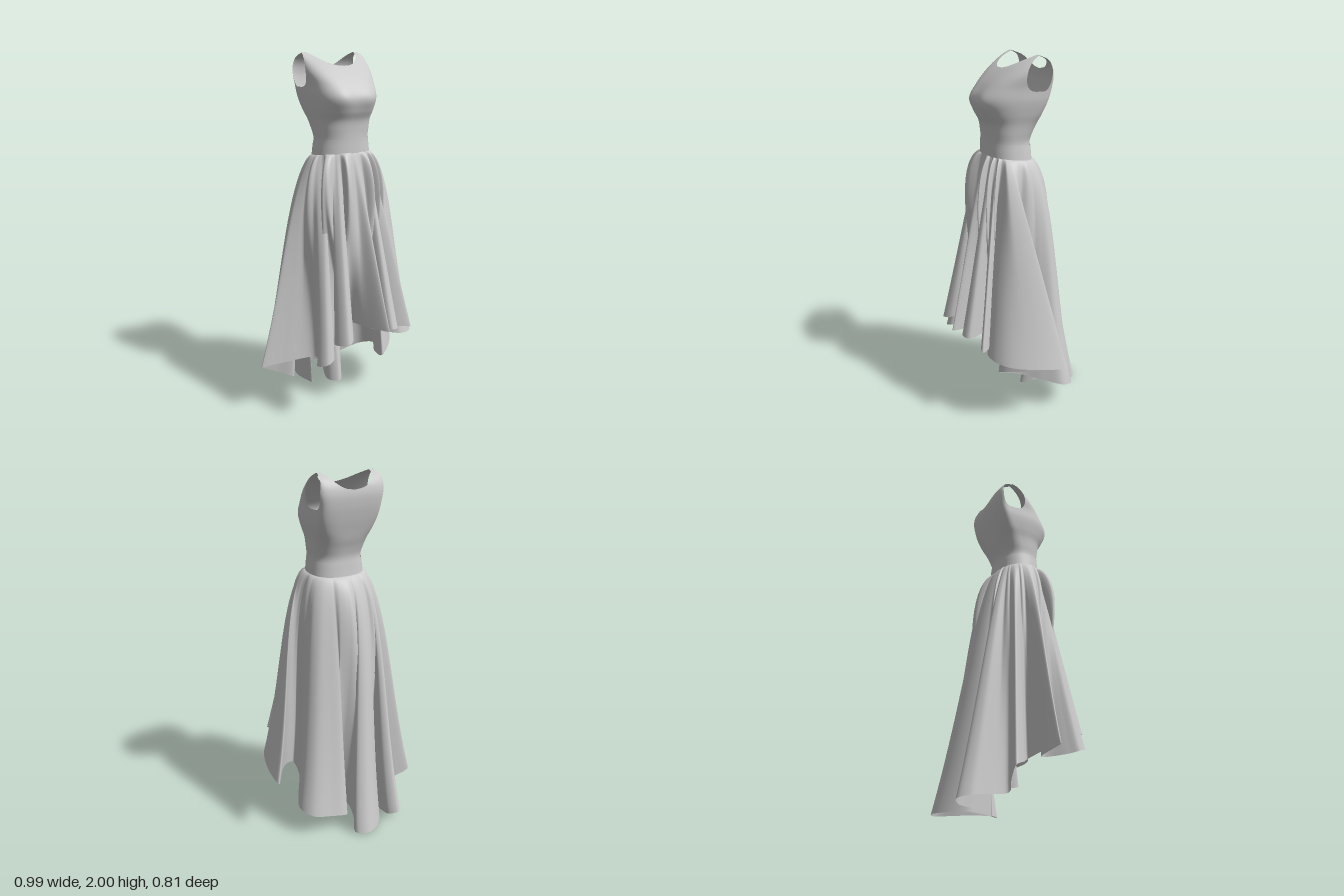
import * as THREE from 'three';

const { lerp, smoothstep, clamp, degToRad } = THREE.MathUtils;
const material = new THREE.MeshStandardMaterial({ color: 0xcccccc, side: THREE.DoubleSide });

// Body profile rows: y, then [half width, front z, back z, side seam z, squareness]
const levels = [1.44, 1.5, 1.55, 1.6, 1.65, 1.7, 1.77, 1.84, 1.9, 1.95, 1.98, 2.0];
const body = [
  [0.162, 0.157, -0.097, 0.03, 0.9], [0.155, 0.155, -0.092, 0.03, 0.9],
  [0.150, 0.154, -0.090, 0.03, 0.9], [0.156, 0.156, -0.102, 0.02, 0.85],
  [0.164, 0.163, -0.120, 0.00, 0.8], [0.177, 0.185, -0.135, -0.03, 0.72],
  [0.190, 0.199, -0.155, -0.065, 0.65], [0.194, 0.157, -0.170, -0.085, 0.6],
  [0.204, 0.098, -0.174, -0.085, 0.6], [0.204, 0.032, -0.160, -0.085, 0.6],
  [0.201, -0.024, -0.132, -0.083, 0.6], [0.196, -0.081, -0.081, -0.081, 0.6],
];
const profile = new THREE.CubicInterpolant(levels, body.flat(), 5, new Float32Array(5));

// Point on the body at an angle (0 = front, turning towards +x) and a height
function section(angle, y) {
  const [w, front, back, side, p] = profile.evaluate(y);
  const s = Math.sin(angle), c = Math.cos(angle);
  const power = c > 0 ? p : p * p; // the back is squarer than the front
  const x = 0.012 + w * Math.sign(s) * Math.abs(s) ** power;
  const z = side + ((c > 0 ? front : back) - side) * Math.abs(c) ** power;
  return new THREE.Vector3(x, y, z);
}

// Closed sheet: columns run round the body, rows run upward
function sheet(name, columns, rows, pointAt) {
  const positions = [], index = [];
  for (let j = 0; j <= rows; j++) {
    for (let i = 0; i < columns; i++) {
      positions.push(...pointAt(i / columns, j / rows).toArray());
      if (j === rows) continue;
      const a = j * columns + i, b = j * columns + (i + 1) % columns;
      index.push(a, b, a + columns, b, b + columns, a + columns);
    }
  }
  const geometry = new THREE.BufferGeometry();
  geometry.setAttribute('position', new THREE.Float32BufferAttribute(positions, 3));
  geometry.setIndex(index);
  geometry.computeVertexNormals();
  const mesh = new THREE.Mesh(geometry, material);
  mesh.name = name;
  return mesh;
}

// The waist seams slope down towards the back
const slope = (y, z) => y + 0.12 * (z - 0.155);

// Top edge of the bodice: neckline, shoulder straps and armholes
function topEdge(angle) {
  const s = Math.abs(Math.sin(angle)), isFront = Math.cos(angle) > 0;
  const fromSide = Math.acos(clamp(s, 0, 1));
  const armhole = degToRad(isFront ? 33 : 48);
  if (fromSide < armhole) return 1.91 - 0.09 * Math.cos(Math.PI * fromSide / armhole);
  const low = isFront ? 1.93 : 1.915;
  return lerp(low, 2, Math.min(1, s ** (isFront ? 0.6 : 0.36) / 0.77) ** 2.2);
}

function bodice() {
  return sheet('bodice', 320, 44, (u, v) => {
    const angle = u * Math.PI * 2;
    const base = slope(1.55, section(angle, 1.55).z);
    const p = section(angle, lerp(base, topEdge(angle), v));
    // Soft fullness on each side of the chest
    if (Math.cos(angle) > 0) {
      const dx = (Math.abs(p.x - 0.012) - 0.085) / 0.05, dy = (p.y - 1.77) / 0.06;
      p.z += 0.008 * Math.exp(-dx * dx - dy * dy);
    }
    return p;
  });
}

function waistband() {
  return sheet('waistband', 160, 6, (u, v) => {
    const angle = u * Math.PI * 2, y = lerp(1.475, 1.555, v);
    const p = section(angle, slope(y, section(angle, y).z));
    p.x *= 1.02;
    p.z += 0.003 * Math.cos(angle);
    return p;
  });
}

// Skirt folds, round from the front:
// waist angle in degrees, hem height, then [x, z] from valley over the lobe
const folds = [
  [-18, 0.51, [[-0.02, 0.17], [0.02, 0.26], [0.10, 0.40], [0.10, 0.29]]],
  [21, 0.50, [[0.07, 0.17], [0.11, 0.30], [0.15, 0.36], [0.20, 0.34], [0.17, 0.25]]],
  [36, 0.48, [[0.11, 0.16], [0.22, 0.27], [0.32, 0.31], [0.25, 0.22]]],
  [49, 0.43, [[0.13, 0.13], [0.27, 0.26], [0.39, 0.21], [0.475, 0.03], [0.49, -0.13],
    [0.42, -0.03], [0.35, 0.07], [0.27, 0.15]]],
  [95, 0.24, [[0.22, 0.17], [0.25, 0.05], [0.33, -0.07], [0.38, -0.17], [0.34, -0.245],
    [0.23, -0.27], [0.12, -0.27], [0.11, -0.12]]],
  [172, 0.02, [[0.06, -0.05], [0.01, -0.10], [0.06, -0.25], [0.13, -0.37], [0.07, -0.41],
    [-0.03, -0.37], [-0.10, -0.28]]],
  [209, 0, [[-0.08, -0.15], [-0.12, -0.25], [-0.12, -0.35], [-0.17, -0.385], [-0.21, -0.33], [-0.21, -0.22]]],
  [228, 0.09, [[-0.22, -0.13], [-0.32, -0.17], [-0.40, -0.19], [-0.34, -0.11]]],
  [251, 0.26, [[-0.24, -0.04], [-0.37, -0.03], [-0.50, 0.00], [-0.37, 0.03]]],
  [280, 0.30, [[-0.19, 0.08], [-0.25, 0.20], [-0.28, 0.26], [-0.25, 0.31], [-0.20, 0.30],
    [-0.17, 0.21], [-0.08, 0.11]]],
  [309, 0.43, [[0.02, 0.06], [-0.05, 0.15], [-0.19, 0.29], [-0.15, 0.365], [-0.10, 0.34], [-0.08, 0.25]]],
];

function skirt() {
  const hemPoints = [], angles = [];
  folds.forEach(([angle, height, lobe], k) => {
    const [nextAngle, nextHeight] = folds[(k + 1) % folds.length];
    const endAngle = nextAngle < angle ? nextAngle + 360 : nextAngle;
    lobe.forEach(([x, z], i) => {
      const s = i / lobe.length;
      hemPoints.push(new THREE.Vector3(x, lerp(height, nextHeight, s), z));
      angles.push(degToRad(lerp(angle, endAngle, s)));
    });
  });
  const count = hemPoints.length;
  angles.push(angles[0] + Math.PI * 2);
  const hemCurve = new THREE.CatmullRomCurve3(hemPoints, true);

  return sheet('skirt', count * 7, 44, (u, v) => {
    const hem = hemCurve.getPoint(u);
    const k = Math.floor(u * count + 1e-6);
    const angle = lerp(angles[k], angles[k + 1], u * count - k);
    const top = section(angle, 1.475);
    top.y = slope(1.48, top.z);
    const t = (1 - v) ** 1.6;
    const p = top.lerp(hem, t);

    // The cloth springs out over the hips, less so at the front,
    // and the valleys are shallower between waist and hem
    const hip = 0.19 * Math.sqrt(t) * (1 - t) ** 2 * (1 - 0.85 * smoothstep(hem.z, 0.1, 0.35));
    const valley = 0.4 * Math.max(0, 0.29 - Math.hypot(hem.x, hem.z)) * Math.sin(Math.PI * t ** 0.7);
    p.x += (hip + valley) * Math.sin(angle);
    p.z += (hip + valley) * Math.cos(angle);
    p.y = Math.max(0, p.y);
    return p;
  });
}

export function createModel() {
  const dress = new THREE.Group();
  dress.name = 'dress';
  dress.add(bodice(), waistband(), skirt());
  return dress;
}
